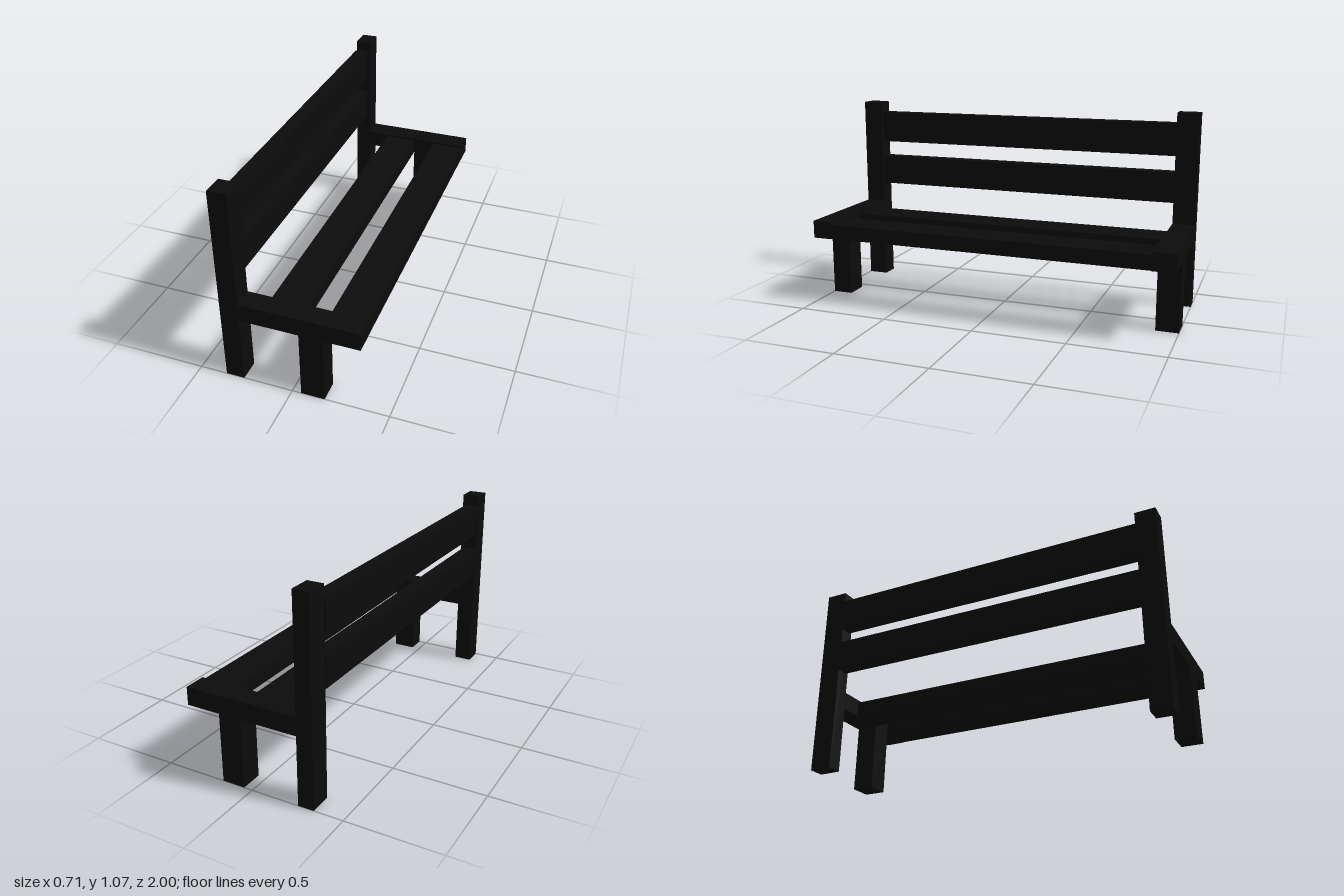
import * as THREE from 'three';

export function createModel() {
  const bench = new THREE.Group();
  bench.name = 'bench';
  const material = new THREE.MeshStandardMaterial({ color: 0x0c0c0c });

  // Box given by its extents along each axis
  function beam(name, [x0, x1], [y0, y1], [z0, z1], parent) {
    const mesh = new THREE.Mesh(new THREE.BoxGeometry(x1 - x0, y1 - y0, z1 - z0), material);
    mesh.position.set((x0 + x1) / 2, (y0 + y1) / 2, (z0 + z1) / 2);
    mesh.name = name;
    parent.add(mesh);
  }

  // End frames: tall back post, short front leg and the seat rail joining them
  const ends = [
    { name: 'rightEndFrame', z: [0.89, 1], back: -0.357 },
    { name: 'leftEndFrame', z: [-1, -0.88], back: -0.345 },
  ];
  for (const { name, z, back } of ends) {
    const frame = new THREE.Group();
    frame.name = name;
    beam('backPost', [back, -0.26], [0, 1.07], z, frame);
    beam('frontLeg', [0.047, 0.17], [0, 0.368], z, frame);
    beam('seatRail', [-0.26, 0.355], [0.368, 0.464], z, frame);
    bench.add(frame);
  }

  // Slats run between the two end frames
  const span = [-0.88, 0.89];
  for (const x of [[-0.138, 0.047], [0.17, 0.355]]) {
    beam('seatSlat', x, [0.37, 0.45], span, bench);
  }
  for (const y of [[0.576, 0.743], [0.834, 1.01]]) {
    beam('backSlat', [-0.352, -0.278], y, span, bench);
  }
  return bench;
}
